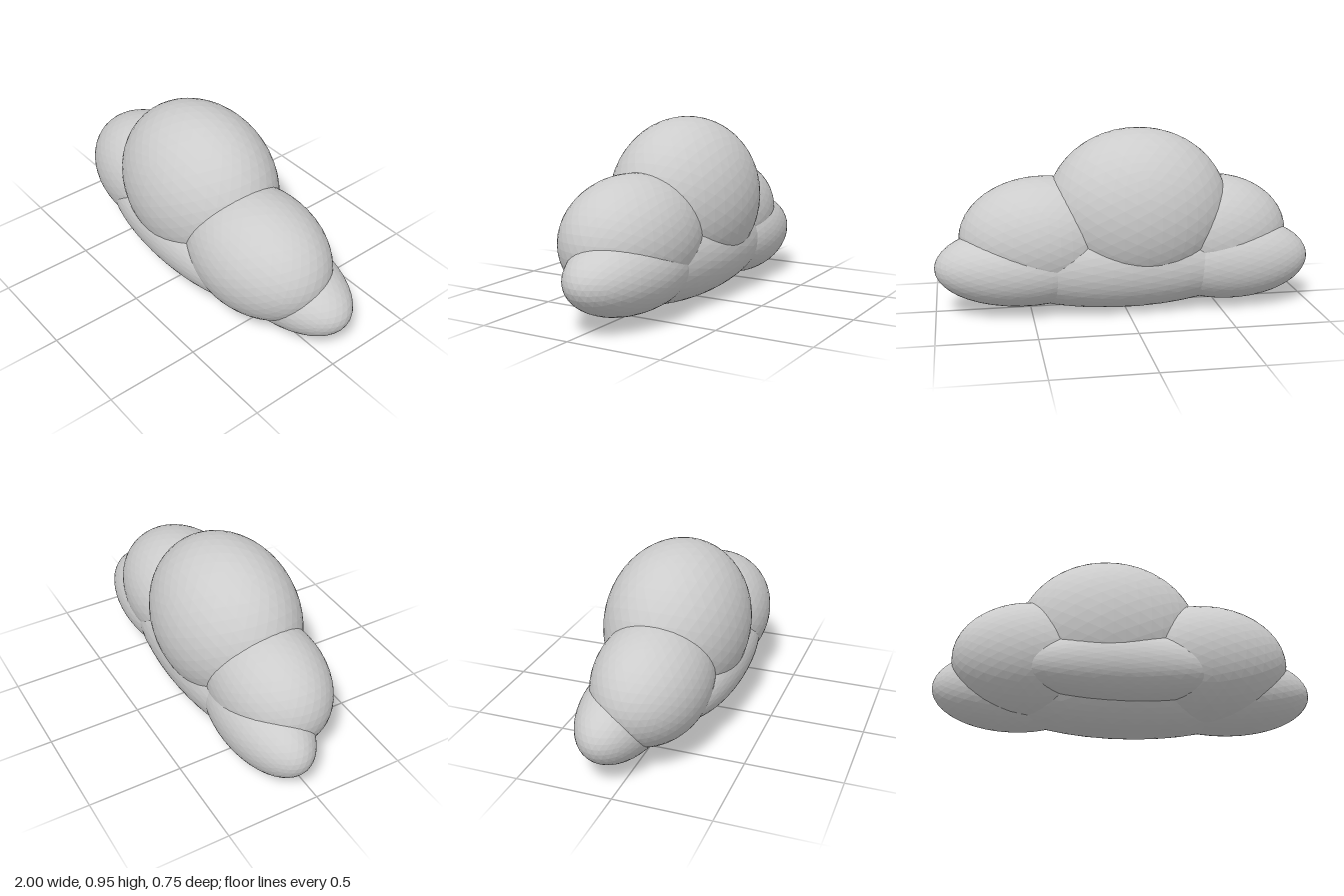
import * as THREE from 'three';

// Each puff is a faceted ellipsoid: name, centre, radii
const PUFFS = [
  ['topPuff', [-0.08, 0.52, 0], [0.49, 0.435, 0.375]],
  ['leftPuff', [0.42, 0.38, 0.02], [0.45, 0.325, 0.325]],
  ['rightPuff', [-0.48, 0.38, 0.015], [0.42, 0.31, 0.295]],
  ['leftLowPuff', [0.53, 0.25, -0.05], [0.47, 0.215, 0.248]],
  ['rightLowPuff', [-0.57, 0.25, -0.09], [0.43, 0.22, 0.215]],
  ['basePuff', [0, 0.257, -0.045], [0.77, 0.257, 0.276]],
  ['frontPuff', [0, 0.287, 0.18], [0.61, 0.18, 0.176]],
];

export function createModel() {
  const cloud = new THREE.Group();
  cloud.name = 'cloud';

  const cloudGrey = new THREE.MeshStandardMaterial({ color: 0xcccccc, flatShading: true });
  cloudGrey.name = 'cloud grey';

  for (const [name, centre, radii] of PUFFS) {
    const geometry = new THREE.IcosahedronGeometry(1, 7);
    geometry.scale(...radii);
    const puff = new THREE.Mesh(geometry, cloudGrey);
    puff.name = name;
    puff.position.set(...centre);
    cloud.add(puff);
  }
  return cloud;
}
